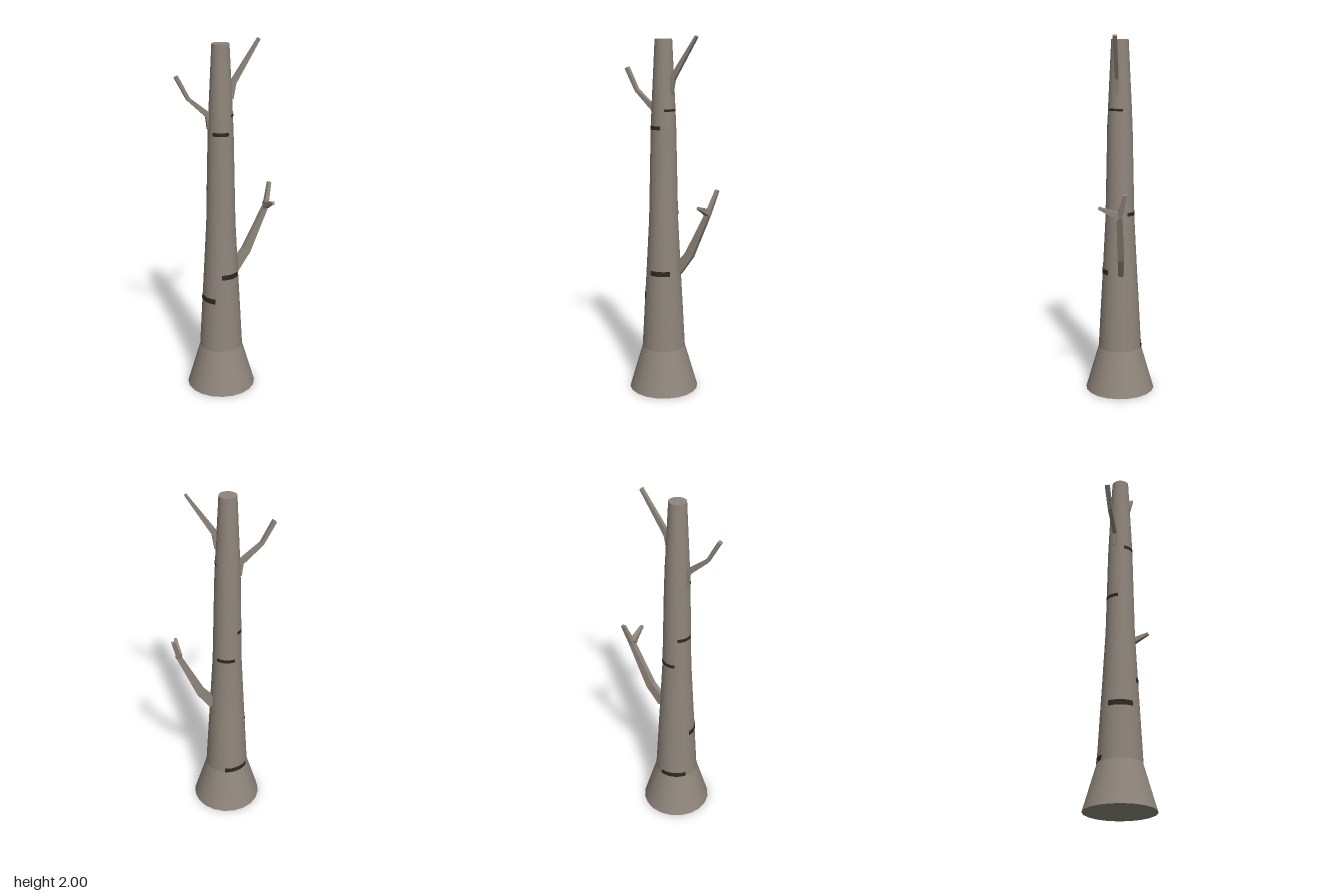
import * as THREE from 'three';

const CX = -0.036, CZ = -0.002, SIDES = 20;
// Trunk profile: [radius, height]
const PROFILE = [[0.195, 0], [0.122, 0.25], [0.105, 0.56], [0.097, 0.7], [0.081, 1], [0.07, 1.5], [0.064, 1.64], [0.047, 1.98]];

function trunkRadius(y) {
  const i = Math.max(1, PROFILE.findIndex(p => p[1] >= y));
  const [r0, y0] = PROFILE[i - 1], [r1, y1] = PROFILE[i];
  return r0 + (r1 - r0) * (y - y0) / (y1 - y0);
}

// Four-sided limb through sections [x, y, z, width, depth]; depth runs along ref
function limbGeometry(sections, ref) {
  const pts = sections.map(s => new THREE.Vector3(s[0], s[1], s[2]));
  const pos = [], index = [];
  sections.forEach(([, , , w, d], i) => {
    const t = pts[Math.min(i + 1, pts.length - 1)].clone().sub(pts[Math.max(i - 1, 0)]);
    const n = new THREE.Vector3().crossVectors(ref, t).normalize();
    for (const [a, b] of [[1, 1], [-1, 1], [-1, -1], [1, -1]]) {
      const p = pts[i].clone().addScaledVector(n, a * w / 2).addScaledVector(ref, b * d / 2);
      pos.push(p.x, p.y, p.z);
    }
    if (i === 0) return;
    for (let k = 0; k < 4; k++) {
      const a = (i - 1) * 4 + k, b = (i - 1) * 4 + (k + 1) % 4;
      index.push(a, b, b + 4, a, b + 4, a + 4);
    }
  });
  const e = (sections.length - 1) * 4;
  index.push(0, 2, 1, 0, 3, 2, e, e + 1, e + 2, e, e + 2, e + 3);
  const g = new THREE.BufferGeometry();
  g.setAttribute('position', new THREE.Float32BufferAttribute(pos, 3));
  g.setIndex(index);
  const flat = g.toNonIndexed();
  flat.computeVertexNormals();
  return flat;
}

export function createModel() {
  const model = new THREE.Group();
  const bark = new THREE.MeshStandardMaterial({ color: 0x8f867b });
  const limbBark = new THREE.MeshStandardMaterial({ color: 0x8f867b, flatShading: true });
  const dark = new THREE.MeshStandardMaterial({ color: 0x2e2823, side: THREE.DoubleSide });
  const add = (parent, name, geometry, material) => {
    const m = new THREE.Mesh(geometry, material);
    m.name = name;
    parent.add(m);
    return m;
  };

  // Trunk: flared foot, tapering stem and two end caps
  const trunk = new THREE.Group();
  trunk.name = 'trunk';
  trunk.position.set(CX, 0, CZ);
  model.add(trunk);
  const v = PROFILE.map(([r, y]) => new THREE.Vector2(r, y));
  add(trunk, 'rootFlare', new THREE.LatheGeometry(v.slice(0, 2), SIDES), bark);
  add(trunk, 'stem', new THREE.LatheGeometry(v.slice(1), SIDES), bark);
  const top = add(trunk, 'cutTop', new THREE.CircleGeometry(0.047, SIDES), bark);
  top.rotation.x = -Math.PI / 2;
  top.position.y = 1.98;
  add(trunk, 'base', new THREE.CircleGeometry(0.195, SIDES), bark).rotation.x = Math.PI / 2;

  // Dark bark bands: [height, band width, start angle, end angle], angles from front toward +x
  const marks = [
    [0.265, 0.028, 162, 234], [0.555, 0.03, -111, -37], [0.7, 0.028, -17, 52],
    [1.03, 0.02, 124, 199], [1.2, 0.02, -150, -85], [1.51, 0.02, -57, 17], [1.605, 0.013, 33, 108],
  ];
  for (const [y, h, a, b] of marks) {
    const g = new THREE.CylinderGeometry(trunkRadius(y + h / 2) + 0.002, trunkRadius(y - h / 2) + 0.002, h, 8, 1, true,
      THREE.MathUtils.degToRad(a), THREE.MathUtils.degToRad(b - a));
    add(trunk, 'barkMark', g, dark).position.y = y;
  }

  // Branches
  const Z = new THREE.Vector3(0, 0, 1), X = new THREE.Vector3(1, 0, 0);
  const limbs = {
    lowerBranch: [[0.045, 0.705, -0.014, 0.06, 0.03], [0.122, 0.805, -0.018, 0.048, 0.033],
      [0.238, 1.055, -0.017, 0.026, 0.03], [0.273, 1.182, -0.05, 0.02, 0.018]],
    upperRightBranch: [[0.01, 1.69, 0.011, 0.04, 0.018], [0.03, 1.775, 0.011, 0.032, 0.02], [0.174, 1.997, 0.011, 0.013, 0.022]],
    upperLeftBranch: [[-0.09, 1.53, -0.014, 0.036, 0.018], [-0.103, 1.605, -0.014, 0.032, 0.021],
      [-0.213, 1.7, -0.014, 0.019, 0.024], [-0.277, 1.82, -0.014, 0.02, 0.026]],
  };
  for (const [name, s] of Object.entries(limbs)) add(model, name, limbGeometry(s, Z), limbBark);
  add(model, 'twig', limbGeometry([[0.237, 1.06, -0.015, 0.04, 0.034], [0.237, 1.08, 0.03, 0.027, 0.026], [0.236, 1.106, 0.094, 0.014, 0.017]], X), limbBark);
  return model;
}
